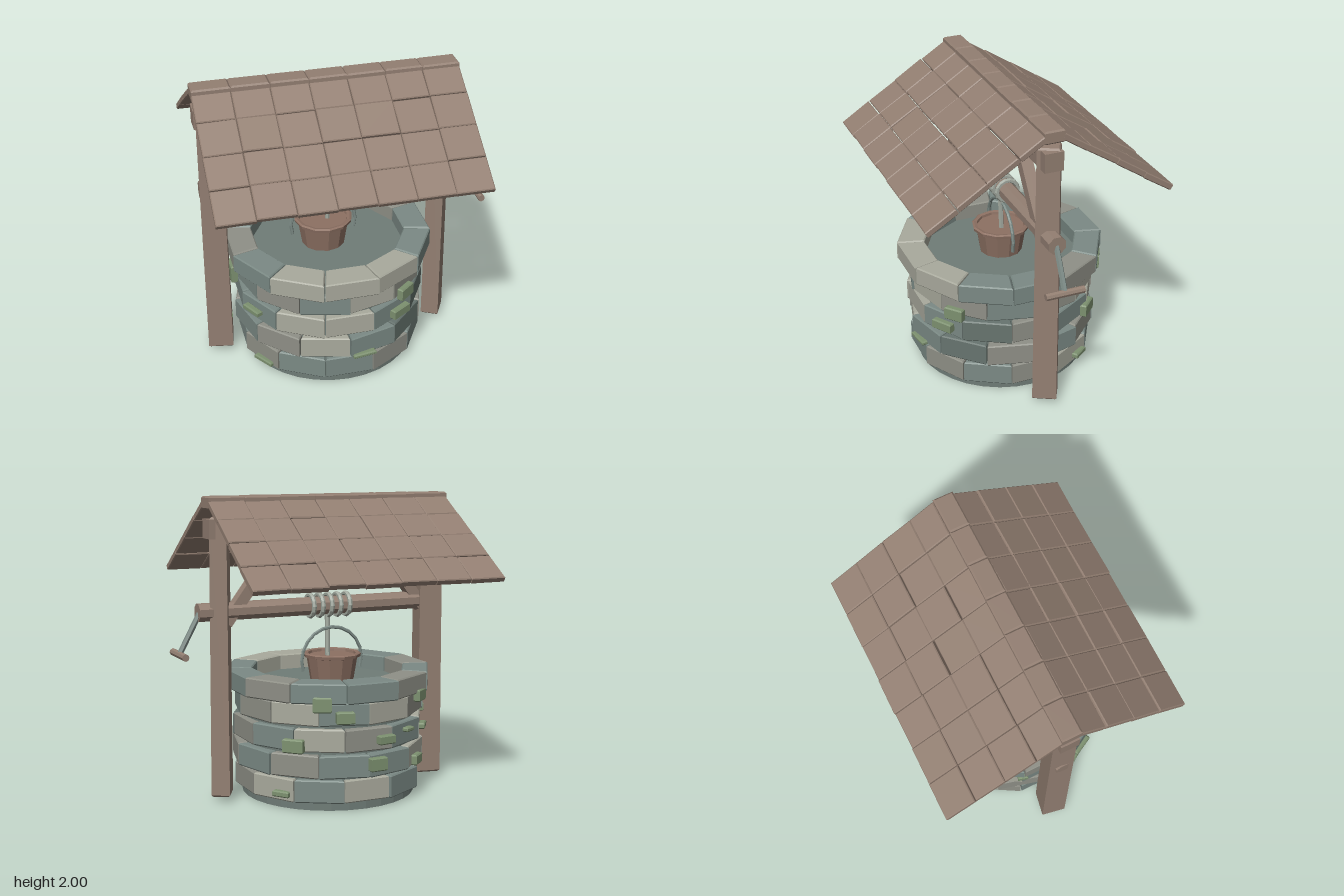
import * as THREE from 'three';

const mat = (name, color) => {
  const m = new THREE.MeshStandardMaterial({ color });
  m.name = name;
  return m;
};

// Gives a geometry hard, faceted normals
const facet = (g) => {
  const f = g.index ? g.toNonIndexed() : g;
  f.computeVertexNormals();
  return f;
};

export function createModel() {
  const wood = mat('weathered wood', 0x937f72);
  const bucketWood = mat('bucket wood', 0x8d7163);
  const metal = mat('grey green iron', 0x7c8a85);
  const ropeMat = mat('rope', 0xa3aaa0);
  const core = mat('mortar', 0x6f7c77);
  const moss = mat('moss', 0x7d9170);
  const stone = {
    L: mat('light stone', 0xa9aa9d),
    W: mat('warm stone', 0x8f9087),
    T: mat('teal stone', 0x7b8a85),
    D: mat('dark stone', 0x67746f),
  };

  const root = new THREE.Group();
  root.name = 'well';
  const well = new THREE.Group();
  well.name = 'wellBody';
  well.position.x = -0.105;
  root.add(well);

  let seed = 7;
  const jitter = (a) => {
    seed = (seed * 16807) % 2147483647;
    return (seed / 2147483647 - 0.5) * 2 * a;
  };
  const add = (name, geo, material, x = 0, y = 0, z = 0, parent = well) => {
    const m = new THREE.Mesh(facet(geo), material);
    m.name = name;
    m.position.set(x, y, z);
    parent.add(m);
    return m;
  };
  // Straight round bar between two points
  const bar = (name, a, b, r, sides, material) => {
    const p = new THREE.Vector3(...a), q = new THREE.Vector3(...b);
    const d = q.clone().sub(p);
    const m = add(name, new THREE.CylinderGeometry(r, r, d.length(), sides), material);
    m.position.copy(p).add(q).multiplyScalar(0.5);
    m.quaternion.setFromUnitVectors(new THREE.Vector3(0, 1, 0), d.normalize());
    return m;
  };
  // Beveled prism from a flat outline, standing on y = 0
  const prism = (pts, h, bevel) => {
    const g = new THREE.ExtrudeGeometry(new THREE.Shape(pts.map((p) => new THREE.Vector2(...p))), {
      depth: h - 2 * bevel, bevelThickness: bevel, bevelSize: bevel, bevelOffset: -bevel, bevelSegments: 1,
    });
    g.translate(0, 0, bevel);
    return g.rotateX(-Math.PI / 2);
  };
  const block = (w, h, d, bevel) =>
    prism([[-w / 2, -d / 2], [w / 2, -d / 2], [w / 2, d / 2], [-w / 2, d / 2]], h, bevel);

  // Inner core, whose top is the floor of the basin
  add('core', new THREE.CylinderGeometry(0.585, 0.585, 0.74, 32), core, 0, 0.37, 0);

  // Stone courses: bottom, height, outer radius, half-stone shift, colours
  const courses = [
    [0.055, 0.15, 0.61, 0, 'LTWTWTTWTWLT'],
    [0.22, 0.15, 0.625, 0.5, 'TLWTWLTDWTWT'],
    [0.39, 0.15, 0.62, 0, 'WTLTTLLTDWTL'],
    [0.56, 0.145, 0.615, 0.5, 'LWTTWTLWTWLT'],
    [0.715, 0.13, 0.675, 0, 'TWTWTLLLTTWT'],
  ];
  courses.forEach(([y, h, r, shift, colours], c) => {
    const t = Math.tan(Math.PI / 12);
    [...colours].forEach((k, i) => {
      const ro = r + jitter(0.008), ri = 0.5, g = 0.004;
      const geo = prism([[-ro * t + g, -ro], [ro * t - g, -ro], [ri * t - g, -ri], [-ri * t + g, -ri]], h, 0.008);
      const s = add(`stone${c}_${i}`, geo, stone[k], 0, y, 0);
      s.rotation.y = -Math.PI + (i + shift) * Math.PI / 6;
    });
  });

  // Moss patches: angle in degrees, height, width, tallness, radius
  [
    [40, 0.58, 0.13, 0.09, 0.64], [33, 0.475, 0.15, 0.07, 0.66], [8.5, 0.23, 0.16, 0.03, 0.64],
    [-57, 0.075, 0.16, 0.035, 0.62], [-62, 0.48, 0.15, 0.04, 0.66], [-88, 0.62, 0.12, 0.13, 0.66],
    [-92, 0.24, 0.07, 0.05, 0.695], [135, 0.43, 0.14, 0.09, 0.64], [127, 0.105, 0.12, 0.04, 0.63],
    [152, 0.71, 0.12, 0.1, 0.66], [165, 0.62, 0.12, 0.08, 0.64], [-172, 0.47, 0.12, 0.06, 0.685],
    [-176, 0.31, 0.12, 0.09, 0.665], [-140, 0.7, 0.11, 0.08, 0.665], [-125, 0.46, 0.11, 0.04, 0.645],
    [-150, 0.49, 0.08, 0.03, 0.64], [-138, 0.26, 0.11, 0.07, 0.64], [-105, 0.54, 0.07, 0.06, 0.64],
  ].forEach(([deg, y, w, h, r], i) => {
    const a = deg * Math.PI / 180;
    const m = add(`moss${i}`, block(w, h, 0.045, 0.008), moss, Math.sin(a) * r, y - h / 2, Math.cos(a) * r);
    m.rotation.y = a;
  });

  // Posts, tapered and slightly turned
  [['rightPost', -0.76, 0.167, 0.165, -0.18], ['leftPost', 0.77, 0.122, 0.16, -0.49]].forEach(([name, x, w, d, turn]) => {
    const geo = block(w, 1.83, d, 0.012);
    const p = geo.attributes.position;
    for (let i = 0; i < p.count; i++) {
      const s = 1 - 0.1 * p.getY(i) / 1.83;
      p.setX(i, p.getX(i) * s);
      p.setZ(i, p.getZ(i) * s);
    }
    add(name, geo, wood, x, 0.035, -0.005).rotation.y = turn;
  });

  // Ridge beam and diagonal braces
  add('ridgeBeam', new THREE.BoxGeometry(1.72, 0.125, 0.125), wood, 0, 1.79, 0);
  for (const s of [-1, 1]) {
    const brace = add('brace', new THREE.BoxGeometry(0.075, 0.72, 0.08), wood, s * 0.52, 1.465, 0);
    brace.rotation.z = s * 0.64;
  }

  // Roof: two tiled slopes and a row of ridge caps
  const roof = new THREE.Group();
  roof.name = 'roof';
  well.add(roof);
  const cols = 7, step = 1.73 / cols;
  const rows = [0, 0.2, 0.437, 0.667, 0.9];
  for (const side of [0, 1]) {
    const half = new THREE.Group();
    half.rotation.y = side * Math.PI;
    const slope = new THREE.Group();
    slope.name = side ? 'backSlope' : 'frontSlope';
    slope.position.set(0, 1.97, 0.065);
    slope.rotation.x = 0.567;
    half.add(slope);
    roof.add(half);
    for (let r = 0; r < 4; r++) {
      for (let c = 0; c < cols; c++) {
        const len = rows[r + 1] - rows[r];
        const tile = add('tile', block(step - 0.003, 0.042, len - 0.003, 0.006), wood,
          (c - 3) * step, -0.042 + jitter(0.004), (rows[r] + rows[r + 1]) / 2 + jitter(0.004), slope);
        tile.rotation.set(jitter(0.012), jitter(0.01), jitter(0.012));
      }
    }
  }
  for (let c = 0; c < cols; c++) {
    const cap = add('ridgeCap', block(step - 0.002, 0.085, 0.135, 0.01), wood, (c - 3) * step, 1.912, 0, roof);
    cap.rotation.set(jitter(0.02), jitter(0.01), jitter(0.01));
  }

  // Windlass with crank
  bar('axle', [-0.845, 1.255, 0], [0.925, 1.255, 0], 0.062, 8, wood).rotateY(Math.PI / 8);
  bar('crankArm', [0.9, 1.27, 0], [1.05, 0.99, 0], 0.019, 6, metal);
  bar('crankHandle', [1.05, 0.99, -0.13], [1.05, 0.99, 0.13], 0.024, 8, wood);

  // Rope coils and hanging rope
  for (let i = 0; i < 5; i++) {
    const coil = add('ropeCoil', new THREE.TorusGeometry(0.073, 0.016, 6, 14), ropeMat, (i - 2) * 0.066, 1.258, 0);
    coil.rotation.y = Math.PI / 2;
  }
  bar('rope', [0.005, 1.19, 0], [0.005, 0.9, -0.01], 0.017, 6, ropeMat);

  // Bucket with hoop handle
  const profile = [[0, 0.69], [0.137, 0.69], [0.172, 0.905], [0.193, 0.91], [0.197, 0.93], [0.185, 0.937],
    [0.165, 0.932], [0.162, 0.915], [0, 0.915]].map((p) => new THREE.Vector2(...p));
  add('bucket', new THREE.LatheGeometry(profile, 12), bucketWood, -0.023, 0, -0.015);
  const hoop = add('bucketHandle', new THREE.TorusGeometry(0.222, 0.012, 6, 12, Math.PI + 0.6), metal, -0.023, 0.885, -0.015);
  hoop.rotation.z = -0.3;

  return root;
}
